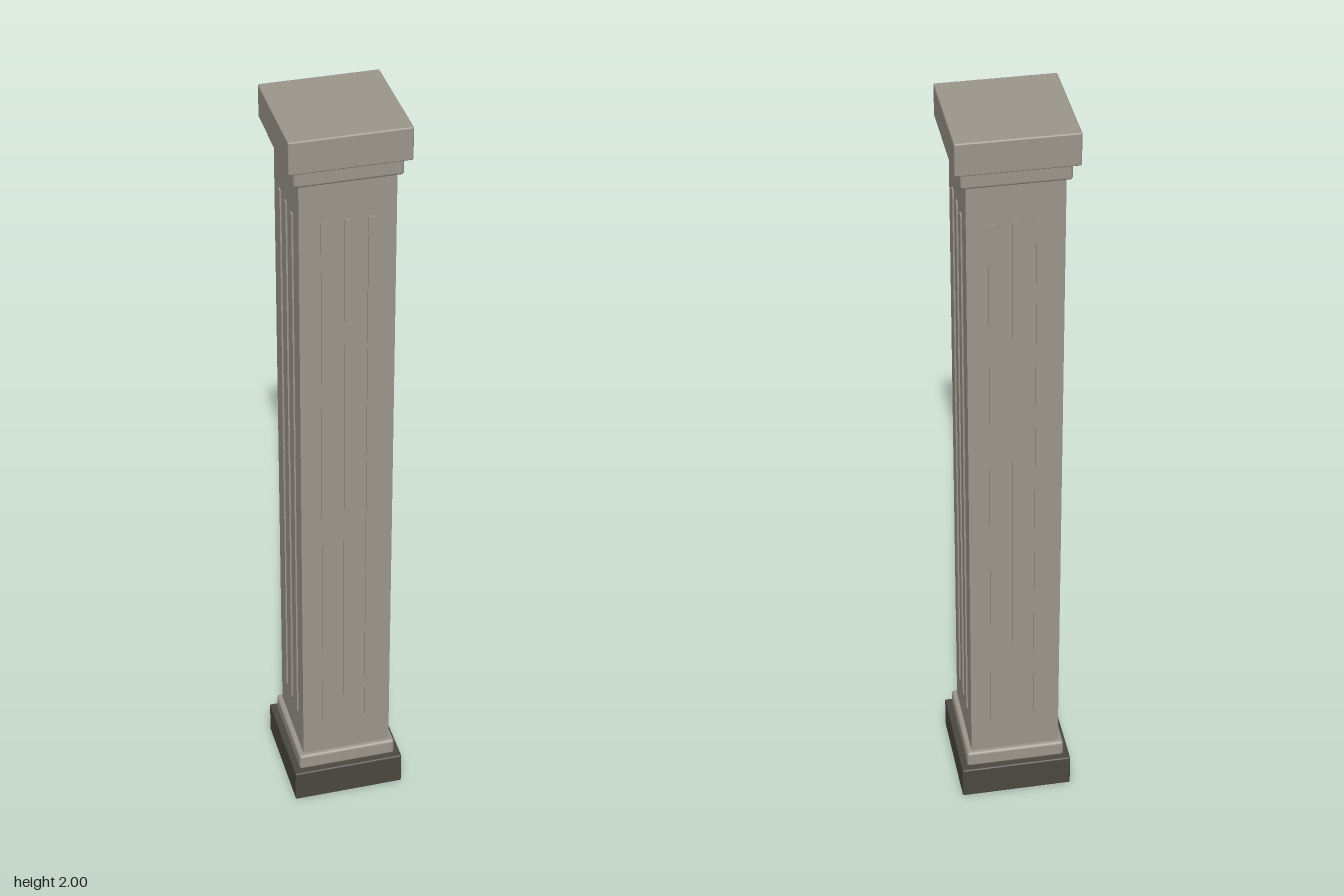
import * as THREE from 'three';
import { RoundedBoxGeometry } from 'three/addons/geometries/RoundedBoxGeometry.js';

export function createModel() {
  const stone = new THREE.MeshStandardMaterial({ name: 'stone', color: 0x9c978c });
  const darkStone = new THREE.MeshStandardMaterial({ name: 'dark stone', color: 0x4b4840 });
  const model = new THREE.Group();
  model.name = 'squareColumn';

  // Square slab between two heights, with softened edges
  function slab(name, width, bottom, top, radius, material) {
    const height = top - bottom;
    const mesh = new THREE.Mesh(new RoundedBoxGeometry(width, height, width, 2, radius), material);
    mesh.name = name;
    mesh.position.y = bottom + height / 2;
    model.add(mesh);
  }

  slab('plinth', 0.294, 0, 0.09, 0.004, darkStone);
  slab('baseMoulding', 0.262, 0.089, 0.135, 0.008, stone);
  slab('capitalMoulding', 0.262, 1.87, 1.916, 0.008, stone);
  slab('capitalSlab', 0.294, 1.915, 2, 0.004, stone);

  // Plain shaft
  const shaftWidth = 0.235;
  const shaft = new THREE.Mesh(new THREE.BoxGeometry(shaftWidth, 1.76, shaftWidth), stone);
  shaft.name = 'shaft';
  shaft.position.y = 1.0;
  model.add(shaft);

  // Three raised vertical ribs on each face
  const ribGeometry = new THREE.BoxGeometry(0.016, 1.525, 0.008);
  for (let side = 0; side < 4; side++) {
    const ribs = new THREE.Group();
    ribs.name = 'shaftRibs';
    ribs.rotation.y = side * Math.PI / 2;
    for (const x of [-0.057, 0, 0.057]) {
      const rib = new THREE.Mesh(ribGeometry, stone);
      rib.name = 'rib';
      rib.position.set(x, 1.003, shaftWidth / 2);
      ribs.add(rib);
    }
    model.add(ribs);
  }

  return model;
}
